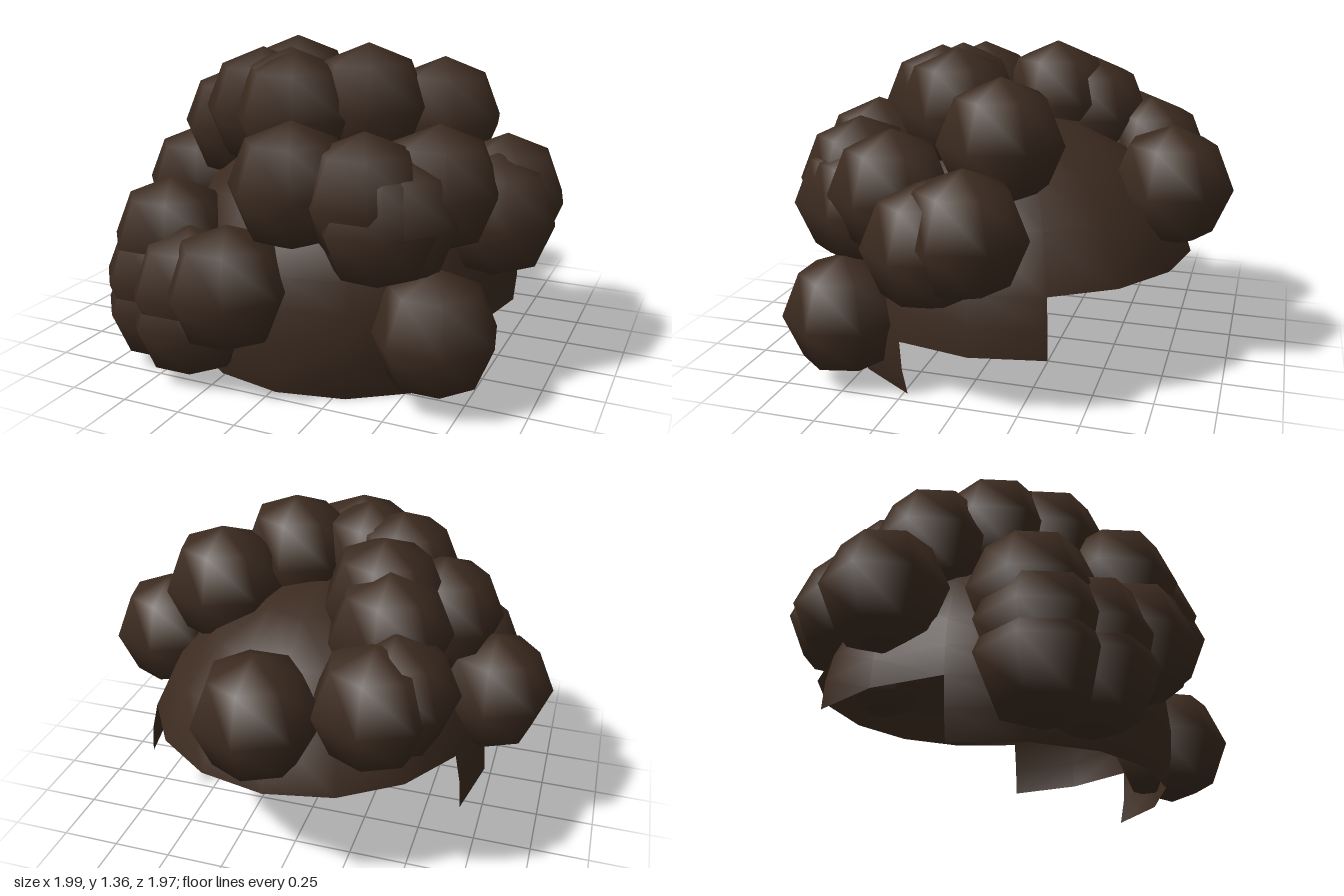
import * as THREE from 'three';

export function createModel() {
  const group = new THREE.Group();
  group.name = 'curlyHair';
  const brown = new THREE.MeshStandardMaterial({ color: 0x3c2b20, side: THREE.DoubleSide });
  brown.name = 'dark brown';

  // Open cap: bands of one 16 x 10 sphere, slightly narrow, cut back in steps
  const R = 0.8, row = Math.PI / 10, seg = Math.PI / 8;
  const band = (name, firstSeg, segs, firstRow, rows) => {
    const geometry = new THREE.SphereGeometry(
      R, segs, rows, firstSeg * seg, segs * seg, firstRow * row, rows * row);
    const mesh = new THREE.Mesh(geometry.scale(0.963, 1, 1), brown);
    mesh.position.set(0.02, 0.255, -0.06);
    mesh.name = name;
    group.add(mesh);
  };
  band('capCrown', 0, 16, 0, 4);
  band('capSides', -1, 10, 4, 1);
  band('capNape', 1, 6, 5, 1);

  // Low-poly curls scattered over the cap
  const curl = new THREE.SphereGeometry(0.261, 7, 4, -Math.PI / 2);
  const curls = {
    crownCurl: [
      [0.195, 1.104, 0.165], [-0.285, 1.083, -0.15], [-0.12, 1.08, 0.25], [-0.065, 1.075, 0.33],
      [-0.28, 1.068, 0.195], [0.44, 1.03, -0.095], [-0.345, 1.01, -0.305], [-0.5, 0.955, 0.03],
    ],
    browCurl: [[0.07, 0.8, -0.725], [-0.36, 0.835, -0.58], [-0.42, 0.85, -0.5]],
    sideCurl: [
      [0.74, 0.735, -0.035], [0.74, 0.68, 0.11], [0.56, 0.824, 0.325], [-0.745, 0.65, -0.015],
    ],
    middleCurl: [
      [0.05, 0.845, 0.595], [0.34, 0.82, 0.555], [0.4, 0.727, 0.56], [0.455, 0.73, 0.49],
      [-0.545, 0.55, 0.54],
    ],
    napeCurl: [
      [0.625, 0.305, 0.525], [-0.563, 0.27, 0.587], [-0.563, 0.4, 0.587],
      [-0.375, 0.27, 0.675], [-0.375, 0.395, 0.675], [-0.16, 0.445, 0.745],
    ],
  };
  for (const [name, spots] of Object.entries(curls)) {
    spots.forEach((p, i) => {
      const mesh = new THREE.Mesh(curl, brown);
      mesh.position.set(...p);
      mesh.name = name + (i + 1);
      group.add(mesh);
    });
  }
  return group;
}
